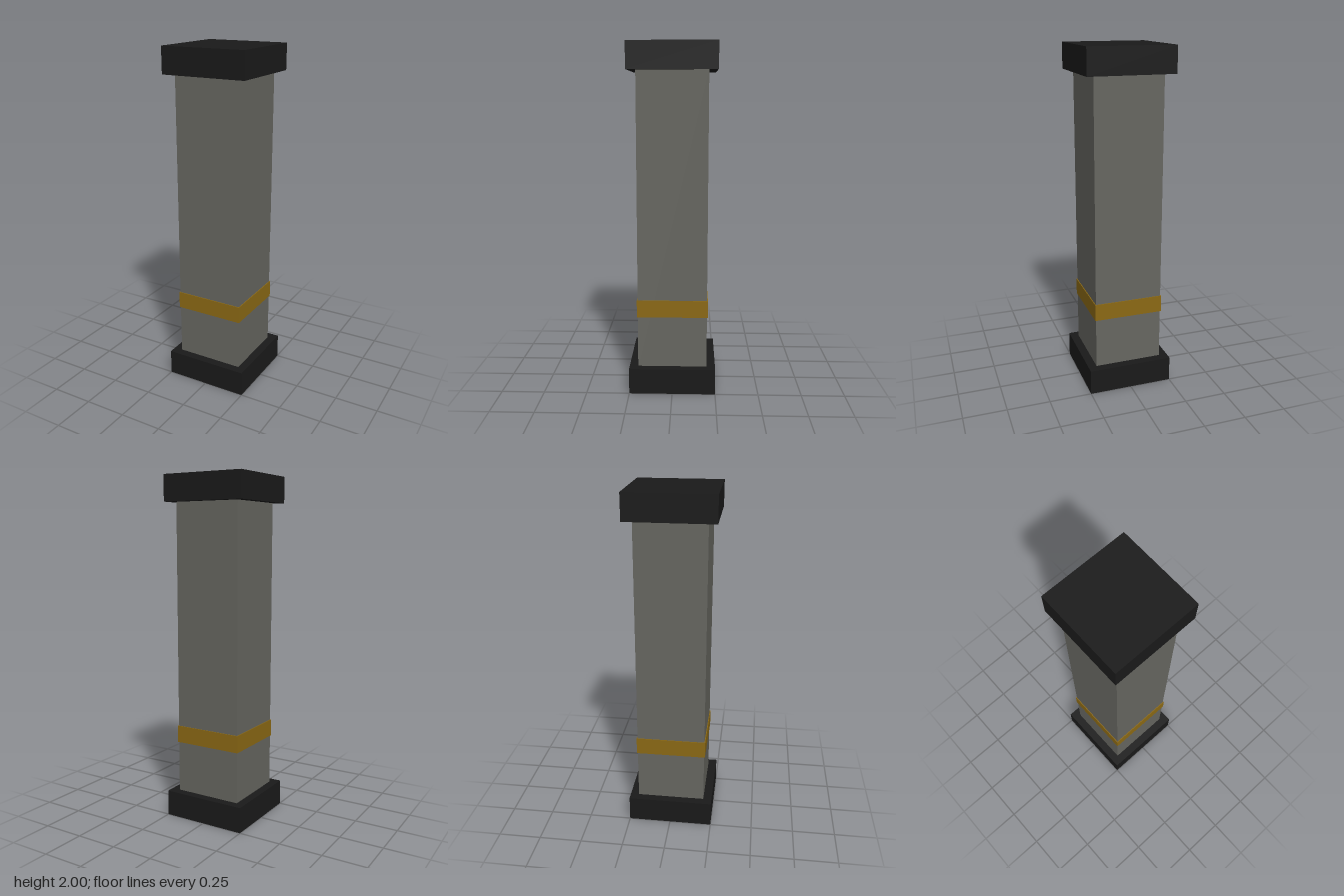
import * as THREE from 'three';

export function createModel() {
  const group = new THREE.Group();
  const dark = new THREE.MeshStandardMaterial({ color: 0x1a1a1a });
  const stone = new THREE.MeshStandardMaterial({ color: 0x666660 });
  const gold = new THREE.MeshStandardMaterial({ color: 0x8b6914 });

  // Square block standing between two heights
  const block = (name, width, bottom, top, material) => {
    const mesh = new THREE.Mesh(new THREE.BoxGeometry(width, top - bottom, width), material);
    mesh.name = name;
    mesh.position.y = (bottom + top) / 2;
    group.add(mesh);
  };

  block('base', 0.5, 0, 0.15, dark);
  block('shaft', 0.4, 0.14, 1.86, stone); // ends tucked into base and capital
  block('band', 0.41, 0.45, 0.55, gold);
  block('capital', 0.5, 1.85, 2, dark);

  return group;
}
